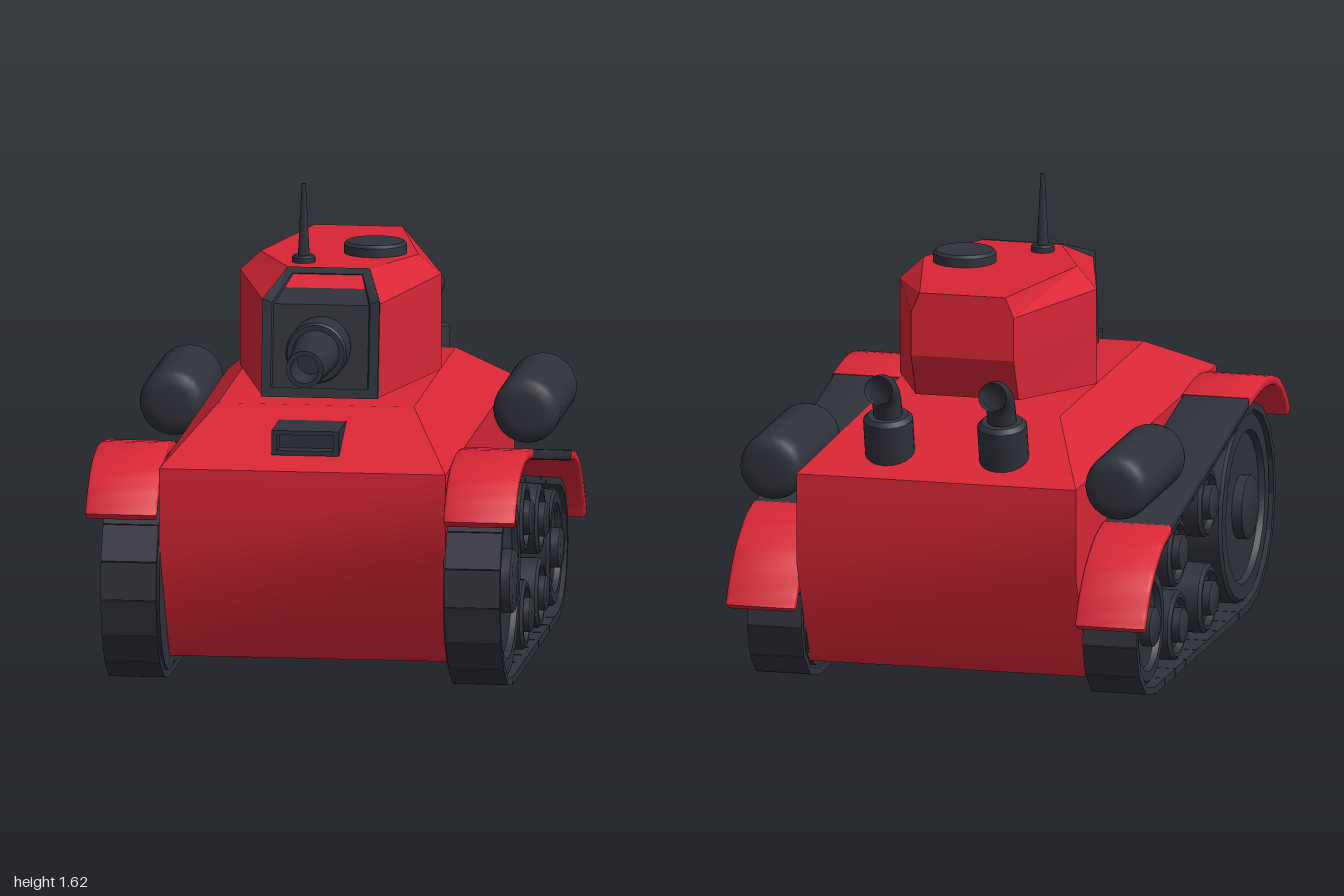
import * as THREE from 'three';
import { toCreasedNormals } from 'three/addons/utils/BufferGeometryUtils.js';

const red = new THREE.MeshStandardMaterial({ color: 0xd92637 });
const dark = new THREE.MeshStandardMaterial({ color: 0x30323b });
const V2 = (x, y) => new THREE.Vector2(x, y);

function add(parent, name, geometry, material, x = 0, y = 0, z = 0) {
  const mesh = new THREE.Mesh(geometry, material);
  mesh.name = name;
  mesh.position.set(x, y, z);
  parent.add(mesh);
  return mesh;
}

// Left-right symmetric ring from its +x half
const ring = (half) => [...half, ...half.slice().reverse().map(([x, y, z]) => [-x, y, z])];

// Closed skin through symmetric rings, capped at both ends
function loft(halves, crease = 0.7) {
  const rings = halves.map(ring);
  const n = rings[0].length;
  const pos = [];
  const quad = (a, b, c, d) => pos.push(...a, ...b, ...c, ...a, ...c, ...d);
  for (let i = 0; i < rings.length - 1; i++) {
    for (let j = 0; j < n; j++) {
      const k = (j + 1) % n;
      quad(rings[i][j], rings[i][k], rings[i + 1][k], rings[i + 1][j]);
    }
  }
  const first = rings[0], last = rings[rings.length - 1];
  for (let j = 0; j < n / 2 - 1; j++) {
    quad(last[j], last[j + 1], last[n - 2 - j], last[n - 1 - j]);
    quad(first[n - 1 - j], first[n - 2 - j], first[j + 1], first[j]);
  }
  const g = new THREE.BufferGeometry();
  g.setAttribute('position', new THREE.Float32BufferAttribute(pos, 3));
  return toCreasedNormals(g, crease);
}

// Turned part from [radius, height] pairs
const turned = (profile, sides = 24, crease = 0.6) =>
  toCreasedNormals(new THREE.LatheGeometry(profile.map(([r, h]) => V2(r, h)), sides), crease);

// Rounded curved strip following (z, y) points, as wide as the fender
function strip(points, thickness, width, steps) {
  const curve = new THREE.SplineCurve(points.map(([z, y]) => V2(z, y)));
  const upper = [], lower = [];
  for (let i = 0; i <= steps; i++) {
    const p = curve.getPoint(i / steps), t = curve.getTangent(i / steps);
    const n = V2(-t.y, t.x).multiplyScalar(thickness / 2);
    upper.push(p.clone().add(n));
    lower.unshift(p.clone().sub(n));
  }
  const bevel = 0.01;
  const g = new THREE.ExtrudeGeometry(new THREE.Shape([...upper, ...lower]), {
    depth: width - 2 * bevel, bevelThickness: bevel, bevelSize: bevel, bevelOffset: -bevel, bevelSegments: 2,
  });
  g.translate(0, 0, bevel - width / 2).rotateY(-Math.PI / 2);
  return toCreasedNormals(g, 0.8);
}

// Belt of flat links around a front and a rear wheel circle
function buildTrack(side) {
  const track = new THREE.Group();
  track.name = 'track';
  const front = { z: 0.63, y: 0.365, r: 0.36 }, rear = { z: -0.655, y: 0.245, r: 0.24 };
  const bottom = -Math.PI / 2;
  const top = Math.PI / 2 + 2 * Math.atan2(front.y - rear.y, front.z - rear.z);
  const pts = [];
  const arc = (c, a0, a1, n) => {
    for (let i = 0; i <= n; i++) {
      const a = a0 + (a1 - a0) * i / n;
      pts.push(V2(c.z + c.r * Math.cos(a), c.y + c.r * Math.sin(a)));
    }
  };
  const straight = (a, b, n) => {
    for (let i = 1; i < n; i++) pts.push(a.clone().lerp(b, i / n));
  };
  arc(front, bottom, top, 9);
  const topStart = pts[pts.length - 1];
  straight(topStart, V2(rear.z + rear.r * Math.cos(top), rear.y + rear.r * Math.sin(top)), 9);
  arc(rear, top, bottom + 2 * Math.PI, 6);
  straight(pts[pts.length - 1], pts[0], 9);

  const thickness = 0.026;
  pts.forEach((p, i) => {
    const d = pts[(i + 1) % pts.length].clone().sub(p);
    const length = d.length();
    const mid = p.clone().addScaledVector(d, 0.5);
    const inward = V2(-d.y, d.x).multiplyScalar(thickness / 2 / length);
    const link = add(track, 'trackLink', new THREE.BoxGeometry(0.19, thickness, length * 0.975), dark,
      side * 0.588, mid.y + inward.y, mid.x + inward.x);
    link.rotation.x = -Math.atan2(d.y, d.x);
  });
  return track;
}

// Wheel with raised rim, dished disc and hub; height runs outward from the hull
const wheel = (r, dish, hub, sides) => turned([
  [0, 0], [r, 0], [r, 0.175], [r - 0.012, 0.185], [dish + 0.01, 0.185], [dish, 0.165],
  [hub, 0.165], [hub, 0.2], [hub - 0.012, 0.208], [0, 0.208],
], sides);

function buildRunningGear(side) {
  const gear = new THREE.Group();
  gear.name = side > 0 ? 'leftRunningGear' : 'rightRunningGear';
  gear.add(buildTrack(side));

  const wheels = [
    ['driveWheel', 0.63, 0.365, 0.33, 0.255, 0.11],
    ['idlerWheel', -0.66, 0.245, 0.2, 0.145, 0.068],
    ['roadWheel', 0.14, 0.16, 0.12, 0.085, 0.06],
    ['roadWheel', -0.27, 0.16, 0.12, 0.085, 0.06],
    ['returnRoller', 0.14, 0.495, 0.12, 0.085, 0.06],
    ['returnRoller', -0.27, 0.415, 0.12, 0.085, 0.06],
  ];
  for (const [name, z, y, r, dish, hub] of wheels) {
    const g = wheel(r, dish, hub, 24).rotateZ(-side * Math.PI / 2);
    add(gear, name, g, dark, side * 0.485, y, z);
  }

  // Fender: red curved ends with a dark straight middle
  const x = side * 0.6125;
  add(gear, 'frontFender', strip([[0.985, 0.62], [0.93, 0.69], [0.84, 0.755], [0.72, 0.787],
    [0.6, 0.79], [0.45, 0.772]], 0.034, 0.245, 16), red, x);
  add(gear, 'middleFender', strip([[0.455, 0.77], [-0.615, 0.573]], 0.036, 0.235, 1), dark, x);
  add(gear, 'rearFender', strip([[-0.61, 0.575], [-0.73, 0.545], [-0.84, 0.48], [-0.92, 0.4],
    [-0.98, 0.305]], 0.034, 0.245, 16), red, x);

  // Fuel drum with rounded ends
  const drum = [[0, -0.28]];
  for (let i = 0; i <= 4; i++) {
    const a = i * Math.PI / 8;
    drum.push([0.06 + 0.055 * Math.sin(a), -0.225 - 0.055 * Math.cos(a)]);
  }
  const profile = [...drum, ...drum.slice().reverse().map(([r, h]) => [r, -h])];
  add(gear, 'fuelDrum', turned(profile, 24).rotateX(Math.PI / 2), dark, side * 0.605, 0.77, -0.61);

  // Exhaust: leaning pot with a bent pipe
  const pot = add(gear, 'exhaustPot', turned([[0, -0.12], [0.085, -0.12], [0.085, 0.065],
    [0.07, 0.08], [0, 0.08]], 20), dark, side * 0.2, 0.9, -0.835);
  pot.rotation.x = -0.22;
  const pipePath = new THREE.CatmullRomCurve3([[0.93, -0.84], [1.0, -0.857], [1.05, -0.88],
    [1.083, -0.925], [1.09, -0.982]].map(([y, z]) => new THREE.Vector3(0, y, z)));
  const pipeMaterial = dark.clone();
  pipeMaterial.side = THREE.DoubleSide;
  add(gear, 'exhaustPipe', new THREE.TubeGeometry(pipePath, 14, 0.05, 16), pipeMaterial, side * 0.2);
  return gear;
}

function buildTurret() {
  const turret = new THREE.Group();
  turret.name = 'turret';
  add(turret, 'turretShell', loft([
    [[0.2, 0.95, 0.435], [0.345, 0.95, -0.13], [0.18, 0.98, -0.55]],
    [[0.2, 1.13, 0.408], [0.345, 1.13, -0.13], [0.18, 1.13, -0.615]],
    [[0.2, 1.265, 0.385], [0.345, 1.28, -0.13], [0.18, 1.28, -0.615]],
    [[0.14, 1.35, 0.19], [0.27, 1.35, -0.1], [0.15, 1.35, -0.615]],
  ], 0.35), red);

  // Gun shield with a raised frame
  const inner = [[0.168, 0.982, 0.456], [0.168, 1.267, 0.412], [0.12, 1.338, 0.235]];
  add(turret, 'gunShield', loft([
    [[0.2, 0.95, 0.43], [0.2, 1.262, 0.38], [0.14, 1.345, 0.185]],
    [[0.2, 0.95, 0.462], [0.2, 1.28, 0.412], [0.14, 1.352, 0.195]],
    inner,
    inner.map(([x, y, z]) => [x * 0.97, y - 0.006, z - 0.01]),
  ], 0.2), dark);

  // Gun: collar, tapered barrel and open muzzle
  add(turret, 'gun', turned([[0, 0.38], [0.1, 0.38], [0.105, 0.44], [0.105, 0.55], [0.098, 0.557],
    [0.08, 0.557], [0.064, 0.86], [0.048, 0.86], [0.045, 0.7], [0, 0.7]], 24)
    .rotateX(Math.PI / 2), dark, 0, 1.12, 0);
  add(turret, 'roofHatch', turned([[0, 1.34], [0.108, 1.34], [0.108, 1.38], [0.098, 1.39],
    [0, 1.39]], 28), dark, 0.12, 0, -0.12);
  add(turret, 'antenna', turned([[0, 1.34], [0.04, 1.34], [0.04, 1.368], [0.034, 1.374],
    [0.02, 1.374], [0.007, 1.62], [0, 1.62]], 14), dark, -0.1, 0, 0.085);
  return turret;
}

export function createModel() {
  const model = new THREE.Group();
  model.name = 'tank';

  // Hull: sloped belly, upright sides and bevelled deck
  add(model, 'hull', loft([
    [0.49, 0.09, 0.68, -0.8], [0.49, 0.47, 0.93, -0.97],
    [0.49, 0.78, 0.93, -0.97], [0.335, 0.942, 0.55, -0.59],
  ].map(([x, y, front, back]) => [[x, y, front], [x, y, back]])), red);
  add(model, 'turretRing', new THREE.CylinderGeometry(0.18, 0.18, 0.04, 24), red, 0, 0.945, -0.05);

  // Driver's vision block with a recessed slot
  const frame = (x, y0, y1, z) => [[x, y0, z], [x, y1, z]];
  add(model, 'visionBlock', loft([
    frame(0.115, 0.82, 0.905, 0.64), frame(0.115, 0.82, 0.905, 0.845),
    frame(0.097, 0.836, 0.89, 0.845), frame(0.092, 0.84, 0.886, 0.81),
  ], 0.3), dark);

  model.add(buildTurret(), buildRunningGear(1), buildRunningGear(-1));
  return model;
}
